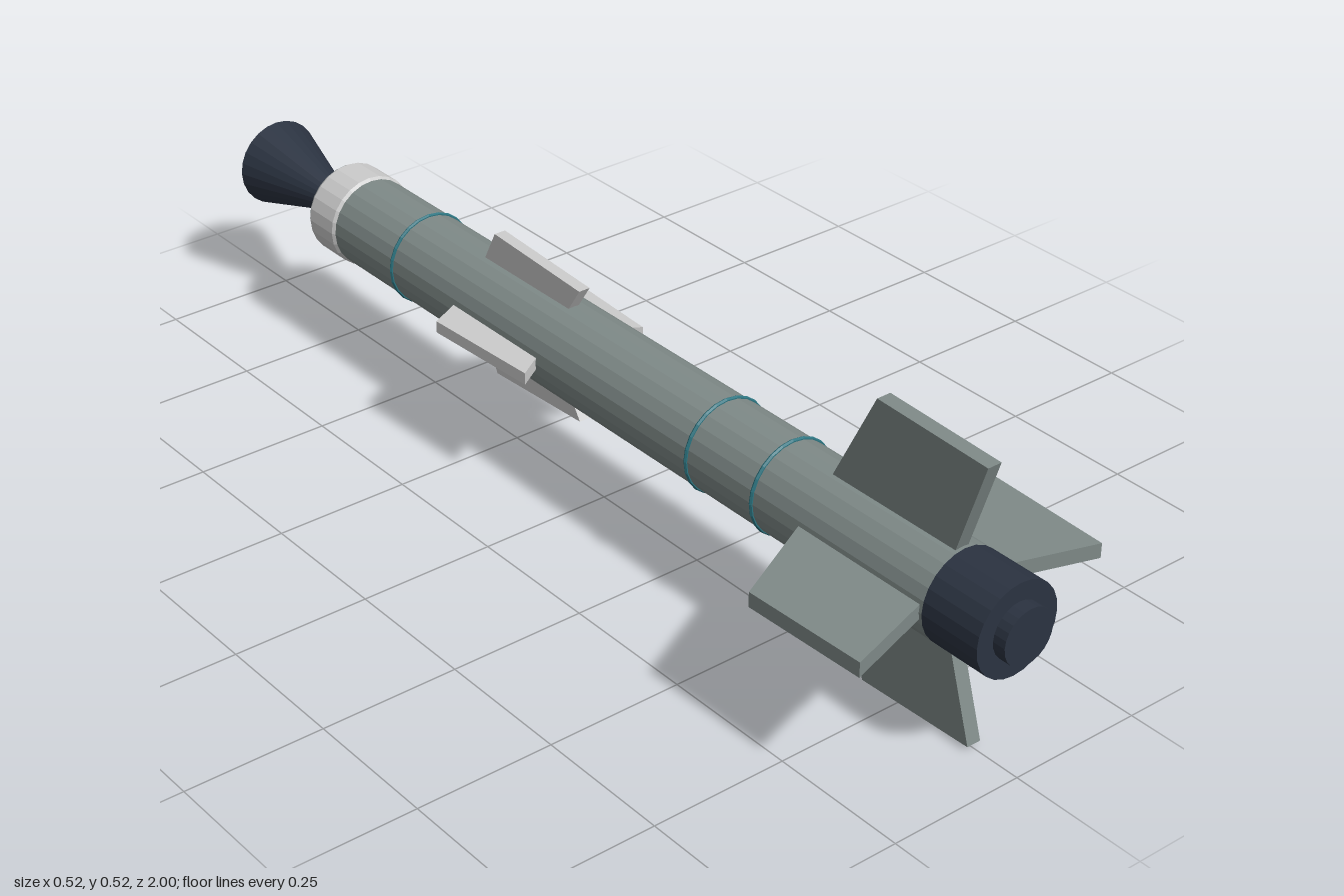
import * as THREE from 'three';

const SIDES = 24;
const AXIS_Y = 0.258;

function material(name, color) {
  const m = new THREE.MeshStandardMaterial({ color });
  m.name = name;
  m.flatShading = true;
  return m;
}

export function createModel() {
  const hullGrey = material('hullGrey', 0x7f8a88);
  const darkNavy = material('darkNavy', 0x2b3341);
  const paleGrey = material('paleGrey', 0xcccccc);
  const teal = material('teal', 0x2c7480);

  const model = new THREE.Group();
  model.name = 'missile';
  const axis = new THREE.Group();
  axis.name = 'airframe';
  axis.position.y = AXIS_Y;
  model.add(axis);

  const add = (name, geometry, mat) => {
    const mesh = new THREE.Mesh(geometry, mat);
    mesh.name = name;
    axis.add(mesh);
    return mesh;
  };

  // Solid of revolution along z, from [radius, z] pairs running back to front
  const turned = (name, mat, points) => {
    const g = new THREE.LatheGeometry(points.map(([r, z]) => new THREE.Vector2(r, z)), SIDES);
    g.rotateX(Math.PI / 2);
    return add(name, g, mat);
  };

  // Body tube, seeker nose and rear exhaust cone
  turned('body', hullGrey, [[0, -0.767], [0.083, -0.767], [0.083, 0.86], [0, 0.86]]);
  turned('noseCap', darkNavy, [[0.083, 0.86], [0.083, 0.976], [0, 0.976]]);
  turned('noseDisc', darkNavy, [[0.05, 0.97], [0.05, 1], [0, 1]]);
  turned('exhaustCone', darkNavy, [[0, -1], [0.083, -1], [0.014, -0.766]]);

  // Bevelled tail collar
  turned('tailCollar', paleGrey, [
    [0.082, -0.768], [0.087, -0.76], [0.087, -0.69], [0.083, -0.684],
  ]);

  // Thin bands round the body
  for (const z of [0.475, 0.315, -0.505]) {
    const band = add('band', new THREE.TorusGeometry(0.083, 0.004, 6, SIDES), teal);
    band.position.z = z;
  }

  // Four matching fins, outline given as [radius, z]
  const finSet = (name, mat, outline, thickness) => {
    const shape = new THREE.Shape(outline.map(([r, z]) => new THREE.Vector2(r, z)));
    const g = new THREE.ExtrudeGeometry(shape, { depth: thickness, bevelEnabled: false });
    g.translate(0, 0, -thickness / 2);
    g.rotateX(Math.PI / 2);
    for (let i = 0; i < 4; i++) {
      add(name, g, mat).rotation.z = i * Math.PI / 2;
    }
  };
  finSet('frontFin', hullGrey, [[0.07, 0.578], [0.258, 0.672], [0.25, 0.907], [0.07, 0.85]], 0.027);
  finSet('midFin', paleGrey, [[0.07, -0.325], [0.139, -0.29], [0.127, -0.053], [0.07, -0.09]], 0.022);

  return model;
}
